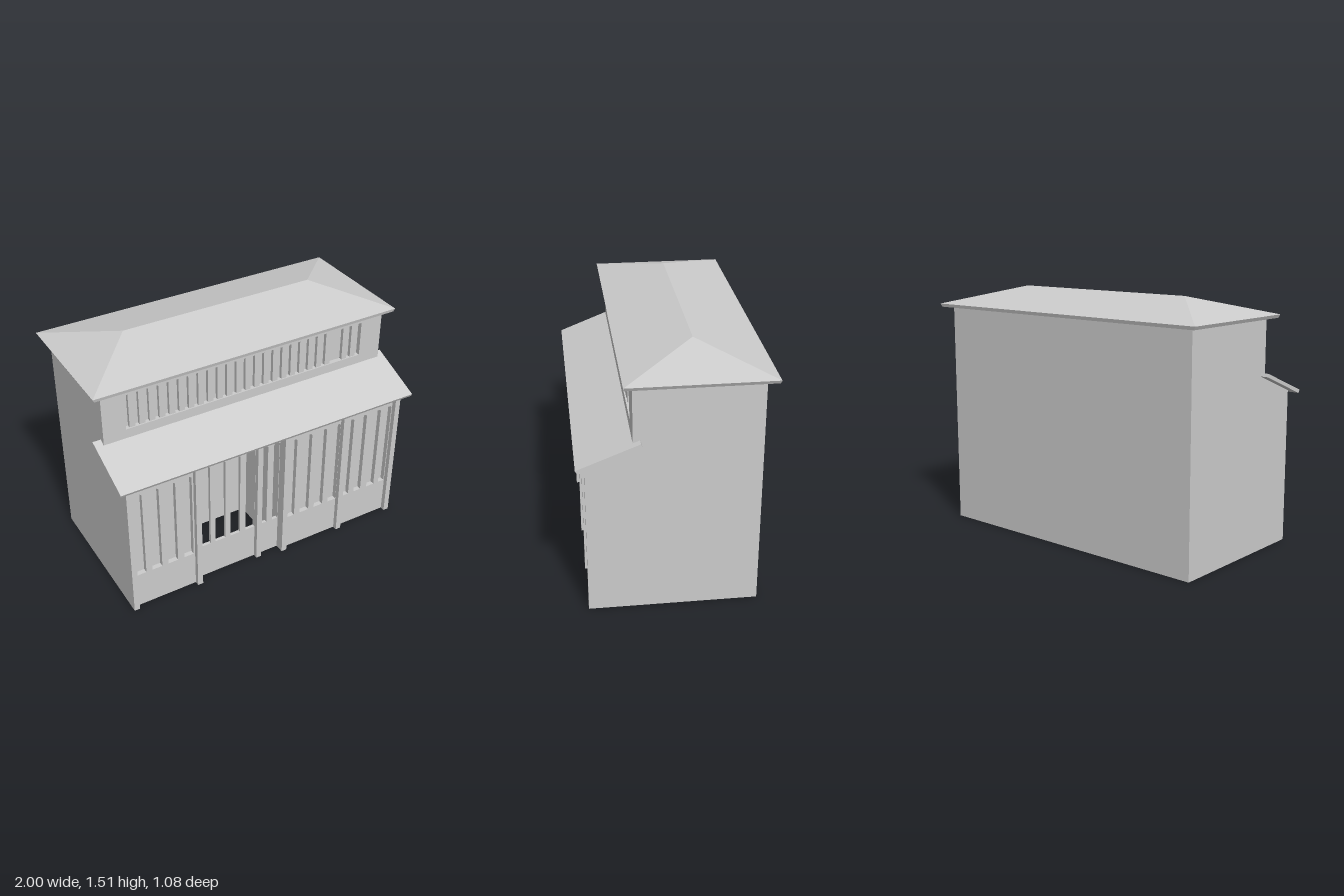
import * as THREE from 'three';

const material = new THREE.MeshStandardMaterial({ color: 0xcccccc, flatShading: true, side: THREE.DoubleSide });

export function createModel() {
  const model = new THREE.Group();

  const add = (name, geometry) => {
    const mesh = new THREE.Mesh(geometry, material);
    mesh.name = name;
    model.add(mesh);
    return mesh;
  };

  // Box given by its limits
  const block = (name, x0, x1, y0, y1, z0, z1) => add(name,
    new THREE.BoxGeometry(x1 - x0, y1 - y0, z1 - z0)
      .translate((x0 + x1) / 2, (y0 + y1) / 2, (z0 + z1) / 2));

  // Side profile of [z, y] points, extruded along x
  const slice = (name, x0, x1, points) => {
    const shape = new THREE.Shape(points.map(([z, y]) => new THREE.Vector2(-z, y)));
    const geometry = new THREE.ExtrudeGeometry(shape, { depth: x1 - x0, bevelEnabled: false });
    return add(name, geometry.rotateY(Math.PI / 2).translate(x0, 0, 0));
  };

  const rect = (path, x0, x1, y0, y1, r = 0) => {
    path.moveTo(x0, y0).lineTo(x1, y0).lineTo(x1, y1 - r);
    path.lineTo(x1 - r, y1).lineTo(x0 + r, y1).lineTo(x0, y1 - r);
    path.closePath();
    return path;
  };

  // Upright panel with openings cut through it
  const panel = (name, x0, x1, y0, y1, z0, z1, holes, r = 0) => {
    const shape = rect(new THREE.Shape(), x0, x1, y0, y1);
    for (const [a, b, c, d] of holes) shape.holes.push(rect(new THREE.Path(), a, b, c, d, r));
    const geometry = new THREE.ExtrudeGeometry(shape, { depth: z1 - z0, bevelEnabled: false });
    return add(name, geometry.translate(0, 0, z0));
  };

  // Solid body on both sides of the entrance, and hollow body behind it
  const top = [[0.2, 1.02], [0.2, 1.385], [-0.48, 1.385]];
  const solid = [[-0.48, 0], [0.43, 0], [0.43, 0.94], ...top];
  const hollow = [[-0.48, 0], [0, 0], [0, 0.9], [0.41, 0.9], [0.41, 0.94], ...top];
  slice('leftBody', 0.095, 0.94, solid);
  slice('rightBody', -0.94, -0.475, solid);
  slice('middleBody', -0.475, 0.095, hollow);

  // Slotted front panels, the middle one set back
  const slots = (list) => list.map(([a, b]) => [a, b, 0.24, 0.83]);
  panel('rightFrontPanel', -0.94, -0.475, 0, 0.925, 0.43, 0.46,
    slots([[-0.904, -0.835], [-0.795, -0.73], [-0.69, -0.625], [-0.583, -0.52]]), 0.01);
  panel('entrancePanel', -0.475, 0.095, 0, 0.925, 0.41, 0.43,
    slots([[-0.455, -0.385], [-0.352, -0.282], [-0.246, -0.18], [-0.14, -0.076], [-0.039, 0.012], [0.053, 0.092]]), 0.01);
  panel('leftFrontPanel', 0.095, 0.94, 0, 0.925, 0.43, 0.46,
    slots([[0.133, 0.198], [0.24, 0.305], [0.347, 0.412], [0.454, 0.514],
      [0.556, 0.615], [0.658, 0.711], [0.76, 0.818], [0.856, 0.9]]), 0.01);

  // Pillars
  for (const x of [-0.94, -0.51, 0.095, 0.515, 0.905]) block('pillar', x, x + 0.035, 0, 0.925, 0.43, 0.49);
  block('entrancePost', -0.075, -0.04, 0, 0.925, 0.41, 0.46);

  // Sloping awning and the closing cheeks below it
  slice('awning', -0.99, 0.985, [[0.53, 0.915], [0.54, 0.934], [0.19, 1.072], [0.182, 1.053]]);
  for (const x of [-0.94, 0.905]) {
    slice('awningCheek', x, x + 0.035, [[0.2, 0.9], [0.49, 0.9], [0.49, 0.932], [0.2, 1.046]]);
  }

  // Upper storey front with a long barred window
  panel('upperFront', -0.94, 0.94, 1.0, 1.385, 0.2, 0.23, [[-0.8, 0.79, 1.115, 1.34]]);
  for (let i = 0; i < 25; i++) {
    if (i === 22) continue;
    const x = -0.775 + i * 0.0625;
    block('windowBar', x, x + 0.036, 1.115, 1.34, 0.2, 0.222);
  }

  // Hipped roof from stacked rectangular sections, closed underneath
  const ring = (x, z0, z1, y) => [[-x, y, z1], [x, y, z1], [x, y, z0], [-x, y, z0]];
  const rings = [
    ring(0.99, -0.535, 0.275, 1.385),
    ring(1, -0.54, 0.28, 1.405),
    ring(0.625, -0.13, -0.13, 1.515),
  ];
  const verts = [];
  const quad = (a, b, c, d) => verts.push(...a, ...b, ...c, ...a, ...c, ...d);
  for (let k = 0; k < 2; k++) {
    for (let i = 0; i < 4; i++) {
      const j = (i + 1) % 4;
      quad(rings[k][i], rings[k][j], rings[k + 1][j], rings[k + 1][i]);
    }
  }
  quad(...[...rings[0]].reverse());
  const roof = new THREE.BufferGeometry();
  roof.setAttribute('position', new THREE.Float32BufferAttribute(verts, 3));
  roof.computeVertexNormals();
  add('hippedRoof', roof);

  return model;
}
